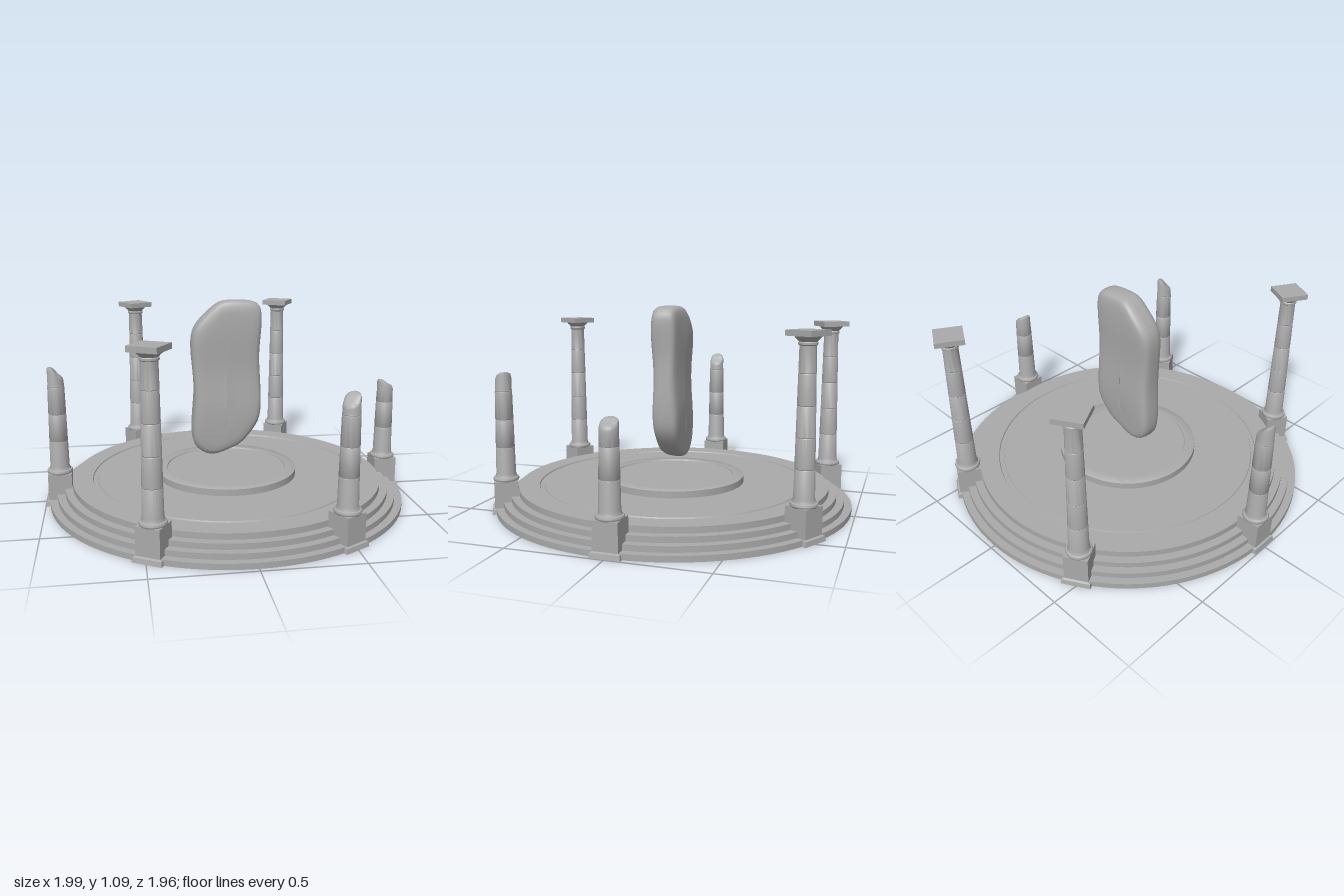
import * as THREE from 'three';
import { toCreasedNormals, mergeVertices } from 'three/addons/utils/BufferGeometryUtils.js';

const stone = new THREE.MeshStandardMaterial({ color: 0xaaaaaa, side: THREE.DoubleSide });
stone.name = 'grey stone';

function mesh(name, geometry) {
  const m = new THREE.Mesh(geometry, stone);
  m.name = name;
  return m;
}

// Turned profile of [radius, y] pairs, with hard edges kept sharp
function turned(name, profile, segments, phi = 0) {
  const points = profile.map(([r, y]) => new THREE.Vector2(r, y));
  return mesh(name, toCreasedNormals(new THREE.LatheGeometry(points, segments, phi), 0.6));
}

// Four-sided profile of [half width, y] pairs
const squared = (name, profile) =>
  turned(name, profile.map(([w, y]) => [w * Math.SQRT2, y]), 4, Math.PI / 4);

// Shaft with fine joints between the drums; tapers towards the top
const shaftRadius = y => 0.052 - 0.012 * (y - 0.2) / 0.74;
function shaftProfile(top) {
  const profile = [[shaftRadius(0.2) + 0.004, 0.195], [shaftRadius(0.21), 0.21]];
  for (const y of [0.35, 0.5, 0.65, 0.8]) {
    if (y > top - 0.09) break;
    const r = shaftRadius(y);
    profile.push([r, y - 0.003], [r - 0.002, y], [r, y + 0.003]);
  }
  return profile;
}

function wholeShaft() {
  const group = new THREE.Group();
  group.name = 'wholeShaft';
  group.add(
    turned('shaft', [...shaftProfile(0.94), [0.04, 0.93]], 24),
    turned('capital', [[0.04, 0.928], [0.046, 0.933], [0.046, 0.942], [0.043, 0.946],
      [0.05, 0.955], [0.06, 0.964], [0.066, 0.973]], 24),
    squared('abacus', [[0, 0.972], [0.075, 0.972], [0.075, 1], [0, 1]]));
  return group;
}

// Shaft snapped off on a slant; the high side points along angle
function brokenShaft(top, drop, angle) {
  const r = shaftRadius(top), mid = top - drop / 2;
  const profile = [...shaftProfile(top), [r, mid - drop / 2 - 0.03], [r, mid - 0.018],
    [r * 0.93, mid - 0.006], [r * 0.75, mid], [r * 0.4, mid + 0.003], [0, mid]];
  const geometry = new THREE.LatheGeometry(profile.map(p => new THREE.Vector2(...p)), 24);
  const pos = geometry.attributes.position;
  for (let i = 0; i < pos.count; i++) {
    if (pos.getY(i) < mid - 0.02) continue;
    const side = (pos.getX(i) * Math.cos(angle) + pos.getZ(i) * Math.sin(angle)) / r;
    const chip = 0.05 * Math.sin(side * 5) * drop;
    pos.setY(i, pos.getY(i) + side * drop / 2 + chip);
  }
  return mesh('brokenShaft', toCreasedNormals(geometry, 0.7));
}

function pedestal() {
  const group = new THREE.Group();
  group.name = 'pedestal';
  group.add(
    squared('block', [[0.077, 0], [0.073, 0.025], [0.063, 0.03], [0.063, 0.172], [0, 0.172]]),
    turned('baseMoulding', [[0.06, 0.165], [0.067, 0.172], [0.069, 0.18], [0.066, 0.188],
      [0.058, 0.192], [0.056, 0.198], [0, 0.198]], 24));
  return group;
}

// Floating slab: one smooth outline lofted through rounded layers
function slab() {
  const outline = [[-0.19, 0.9], [-0.165, 0.965], [-0.06, 1.07], [-0.02, 1.09], [0.15, 1.083],
    [0.178, 1.06], [0.18, 0.8], [0.184, 0.47], [0.165, 0.405], [0.085, 0.305], [0.03, 0.275],
    [-0.09, 0.241], [-0.16, 0.275], [-0.187, 0.33], [-0.182, 0.6]];
  const curve = new THREE.CatmullRomCurve3(
    outline.map(([x, y]) => new THREE.Vector3(x, y, 0)), true, 'centripetal');
  const n = 72, ring = curve.getSpacedPoints(n).slice(0, n);
  // [inset from the outline, z]
  const half = [[0.18, 0.068], [0.12, 0.068], [0.06, 0.067], [0.028, 0.064], [0.012, 0.056],
    [0.003, 0.042], [0, 0.02]];
  const layers = [...half, ...half.map(([d, z]) => [d, -z]).reverse()];
  const vertices = [], faces = [];
  for (const [d, z] of layers) {
    for (const p of ring) {
      const x = p.x * (1 - d / 0.185);
      const y = 0.665 + (p.y - 0.665) * (1 - d / 0.42);
      const wobble = 0.004 * Math.sin(y * 13 + z * 25);
      vertices.push(x + wobble * 0.5, y, z + wobble + 0.004 * Math.sin(x * 14 + y * 6) + 0.004);
    }
  }
  for (let j = 0; j < layers.length - 1; j++) {
    for (let i = 0; i < n; i++) {
      const k = (i + 1) % n, a = j * n + i, b = j * n + k, c = a + n, e = b + n;
      faces.push(a, b, c, b, e, c);
    }
  }
  // Close the narrow middle strip of both faces
  const last = (layers.length - 1) * n;
  for (let i = 1; i < n - 1; i++) {
    faces.push(0, i + 1, i, last, last + i, last + i + 1);
  }
  let geometry = new THREE.BufferGeometry();
  geometry.setAttribute('position', new THREE.Float32BufferAttribute(vertices, 3));
  geometry.setIndex(faces);
  // Outline runs clockwise, so turn every face outwards
  const idx = geometry.index.array, v = i => new THREE.Vector3().fromArray(vertices, i * 3);
  const a = v(idx[0 + 6 * n * 6]), b = v(idx[1 + 6 * n * 6]), c = v(idx[2 + 6 * n * 6]);
  const normal = b.clone().sub(a).cross(c.clone().sub(a));
  if (normal.dot(new THREE.Vector3(a.x, a.y - 0.665, 0)) < 0) {
    for (let i = 0; i < idx.length; i += 3) [idx[i + 1], idx[i + 2]] = [idx[i + 2], idx[i + 1]];
  }
  geometry = mergeVertices(geometry);
  geometry.computeVertexNormals();
  return mesh('floatingSlab', geometry);
}

export function createModel() {
  const model = new THREE.Group();
  model.name = 'ruinedStoneCircle';

  // Hollow stepped platform with a shallow ring groove
  model.add(turned('steppedPlatform', [[0.978, 0], [0.978, 0.03], [0.938, 0.03], [0.938, 0.06],
    [0.897, 0.06], [0.897, 0.09], [0.855, 0.09], [0.855, 0.122], [0.745, 0.122], [0.742, 0.115],
    [0.718, 0.115], [0.715, 0.122], [0, 0.122]], 96));

  // Raised round dais with a rim
  model.add(turned('dais', [[0.39, 0.122], [0.39, 0.158], [0.387, 0.16], [0.333, 0.16],
    [0.33, 0.153], [0, 0.153]], 72));

  model.add(slab());

  // Six columns; three whole, three broken
  const breaks = { 0: [0.635, 0.05, Math.PI], 1: [0.765, 0.075, -0.8], 3: [0.765, 0.075, Math.PI] };
  for (let i = 0; i < 6; i++) {
    const angle = i * Math.PI / 3;
    const column = new THREE.Group();
    column.name = 'column' + (i + 1);
    column.position.set(0.92 * Math.cos(angle), 0, 0.92 * Math.sin(angle));
    column.rotation.y = -angle;
    column.add(pedestal());
    if (breaks[i]) {
      const [top, drop, direction] = breaks[i];
      column.add(brokenShaft(top, drop, direction - angle));
    } else {
      column.add(wholeShaft());
    }
    model.add(column);
  }
  return model;
}
